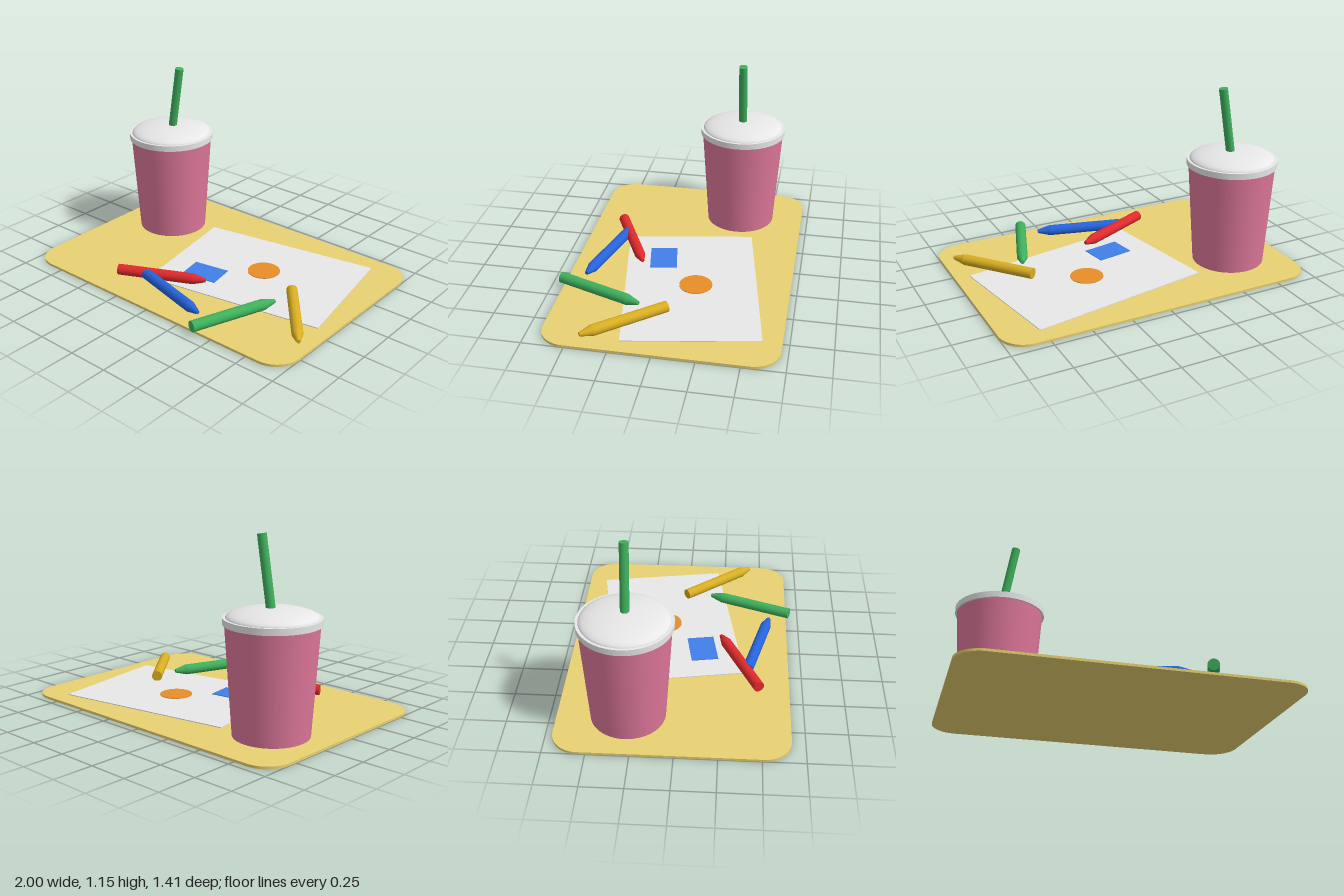
import * as THREE from 'three';

const mat = (name, color) => {
  const m = new THREE.MeshStandardMaterial({ color });
  m.name = name;
  return m;
};

export function createModel() {
  const model = new THREE.Group();
  model.name = 'placematSet';
  const sand = mat('sand', 0xe8d272), white = mat('white', 0xeeeeee), pink = mat('pink', 0xdd7799);
  const green = mat('green', 0x3fb05c), red = mat('red', 0xe02a2c), blue = mat('blue', 0x2563dc);
  const yellow = mat('yellow', 0xd9ae22), orange = mat('orange', 0xf0942a), skyBlue = mat('skyBlue', 0x4182ec);

  const add = (name, geometry, material, x = 0, y = 0, z = 0, parent = model) => {
    const mesh = new THREE.Mesh(geometry, material);
    mesh.name = name;
    mesh.position.set(x, y, z);
    parent.add(mesh);
    return mesh;
  };

  // Placemat: rounded rectangle laid flat
  const w = 1, d = 0.69, r = 0.16;
  const outline = new THREE.Shape();
  outline.moveTo(w, -d + r);
  outline.absarc(w - r, d - r, r, 0, Math.PI / 2);
  outline.absarc(-w + r, d - r, r, Math.PI / 2, Math.PI);
  outline.absarc(-w + r, -d + r, r, Math.PI, Math.PI * 1.5);
  outline.absarc(w - r, -d + r, r, Math.PI * 1.5, Math.PI * 2);
  const matGeo = new THREE.ExtrudeGeometry(outline, { depth: 0.015, bevelEnabled: false, curveSegments: 10 });
  add('placemat', matGeo.rotateX(-Math.PI / 2), sand, 0, 0, -0.02);

  // Paper with two cut-out shapes on it
  const tilt = THREE.MathUtils.degToRad(9.8);
  add('paper', new THREE.BoxGeometry(1.16, 0.006, 0.81), white, 0.267, 0.017, -0.1).rotation.y = tilt;
  add('paperDisc', new THREE.CylinderGeometry(0.102, 0.102, 0.004, 40), orange, 0.267, 0.022, -0.13);
  add('paperRectangle', new THREE.BoxGeometry(0.234, 0.004, 0.17), skyBlue, -0.005, 0.022, 0.125).rotation.y = tilt;

  // Cup, domed lid and straw
  const cup = new THREE.Group();
  cup.name = 'cup';
  cup.position.set(-0.655, 0, -0.288);
  model.add(cup);
  add('cupBody', new THREE.CylinderGeometry(0.267, 0.223, 0.645, 48), pink, 0, 0.3375, 0, cup);
  add('lidRim', new THREE.CylinderGeometry(0.278, 0.278, 0.038, 48), white, 0, 0.674, 0, cup);
  const dome = new THREE.SphereGeometry(0.262, 48, 12, 0, Math.PI * 2, 0, Math.PI / 2).scale(1, 0.055 / 0.262, 1);
  add('lidDome', dome, white, 0, 0.69, 0, cup);
  const straw = add('straw', new THREE.CylinderGeometry(0.027, 0.027, 0.47, 20), green, 0.044, 0.915, 0, cup);
  straw.rotation.z = -THREE.MathUtils.degToRad(9.7);

  // Crayons: barrel plus blunt cone, running from butt to tip
  const radius = 0.034, coneLength = 0.08;
  const crayon = (name, material, x0, z0, x1, z1) => {
    const length = Math.hypot(x1 - x0, z1 - z0);
    const group = new THREE.Group();
    group.name = name;
    group.position.set(x0, 0.052, z0);
    group.quaternion.setFromUnitVectors(
      new THREE.Vector3(0, 1, 0),
      new THREE.Vector3(x1 - x0, 0, z1 - z0).normalize()
    );
    const barrel = length - coneLength;
    add('barrel', new THREE.CylinderGeometry(radius, radius, barrel, 20), material, 0, barrel / 2, 0, group);
    add('tip', new THREE.CylinderGeometry(0.012, radius, coneLength, 20), material, 0, barrel + coneLength / 2, 0, group);
    model.add(group);
  };
  crayon('redCrayon', red, -0.41, 0.484, 0.1, 0.242);
  crayon('blueCrayon', blue, -0.235, 0.415, 0.308, 0.553);
  crayon('greenCrayon', green, 0.38, 0.69, 0.572, 0.163);
  crayon('yellowCrayon', yellow, 0.573, -0.008, 0.932, 0.424);

  return model;
}
